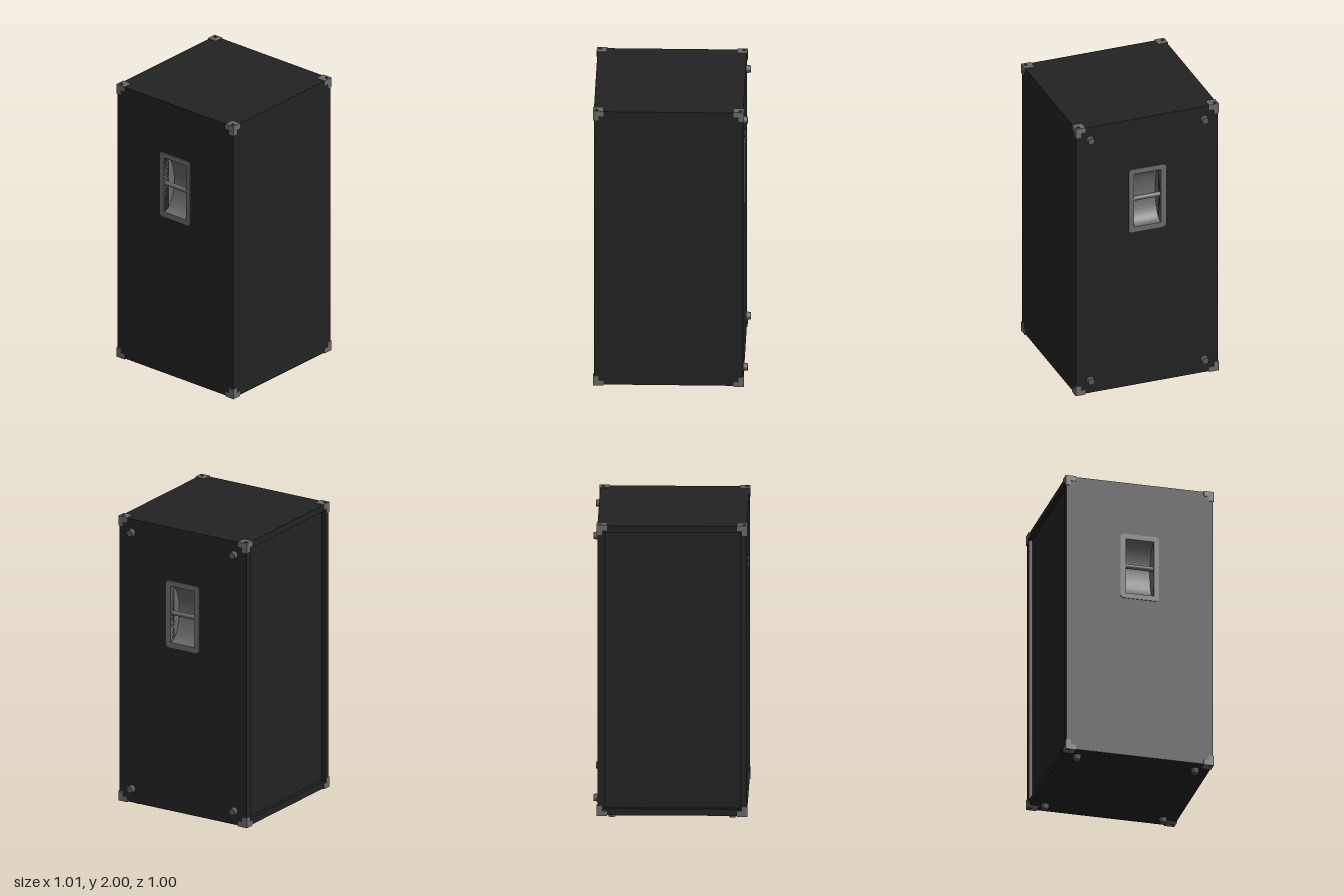
import * as THREE from 'three';
import { mergeGeometries } from 'three/addons/utils/BufferGeometryUtils.js';

// Cabinet limits
const X0 = -0.5, X1 = 0.477, Y0 = 0.032, Y1 = 1.995, Z = 0.497;
const CX = (X0 + X1) / 2, CY = (Y0 + Y1) / 2, W = X1 - X0, H = Y1 - Y0;
const WALL = 0.045;
const HANDLE_Y = 1.395;

// Box between two opposite corners, given in any order
function block(ax, bx, ay, by, az, bz) {
  const g = new THREE.BoxGeometry(Math.abs(bx - ax), Math.abs(by - ay), Math.abs(bz - az));
  return g.translate((ax + bx) / 2, (ay + by) / 2, (az + bz) / 2);
}

// Rectangle centred on (0, y), with cut corners
function rect(Type, w, h, y = 0, c = 0) {
  const a = w / 2, b = h / 2;
  const p = c
    ? [[-a + c, -b], [a - c, -b], [a, -b + c], [a, b - c], [a - c, b], [-a + c, b], [-a, b - c], [-a, -b + c]]
    : [[-a, -b], [a, -b], [a, b], [-a, b]];
  return new Type(p.map(([x, v]) => new THREE.Vector2(x, v + y)));
}

function extrude(shape, depth) {
  return new THREE.ExtrudeGeometry(shape, { depth, bevelEnabled: false });
}

// Corner protector: three thin plates, the outer one with a square hole
function cornerGeometry(sx, sy, sz) {
  const t = 0.005, s = 0.068, n = 0.036, h0 = 0.012, h1 = 0.033;
  const ox = (sx > 0 ? X1 : X0) + sx * t;
  const oy = (sy > 0 ? Y1 : Y0) + sy * t;
  const oz = sz * (Z + t);
  const b = (x0, x1, y0, y1, z0, z1) => block(
    ox - sx * x0, ox - sx * x1, oy - sy * y0, oy - sy * y1, oz - sz * z0, oz - sz * z1);
  return mergeGeometries([
    // horizontal plate around its hole
    b(0, h0, 0, t, 0, s), b(h1, s, 0, t, 0, s),
    b(h0, h1, 0, t, 0, h0), b(h0, h1, 0, t, h1, s),
    // front or back plate, L-shaped
    b(0, s, t, n, 0, t), b(0, n, n, s, 0, t),
    // side plate, L-shaped
    b(0, t, t, n, t, s), b(0, t, n, s, t, n),
  ]);
}

export function createModel() {
  const model = new THREE.Group();
  const covering = new THREE.MeshStandardMaterial({ color: 0x222222 });
  covering.name = 'black covering';
  const metal = new THREE.MeshStandardMaterial({ color: 0x6a6a6a });
  metal.name = 'grey fittings';
  const pan = new THREE.MeshStandardMaterial({ color: 0x6a6a6a, side: THREE.DoubleSide });
  pan.name = 'grey handle pan';
  const rubber = new THREE.MeshStandardMaterial({ color: 0x585858 });
  rubber.name = 'dark grey feet';

  const add = (name, geometry, material, parent = model) => {
    const mesh = new THREE.Mesh(geometry, material);
    mesh.name = name;
    parent.add(mesh);
    return mesh;
  };

  // Cabinet shell
  add('topPanel', block(X0 + WALL, X1 - WALL, Y1 - WALL, Y1, -Z, Z), covering);
  add('bottomPanel', block(X0 + WALL, X1 - WALL, Y0, Y0 + WALL, -Z, Z), covering);
  add('frontPanel', block(X0 + WALL, X1 - WALL, Y0 + WALL, Y1 - WALL, Z - 0.03, Z), covering);
  add('recessedBackPanel',
    block(X0 + WALL, X1 - WALL, Y0 + WALL, Y1 - WALL, -Z + 0.025, -Z + 0.05), covering);

  // Side walls with handle openings, and the handles in them
  for (const s of [1, -1]) {
    const side = new THREE.Group();
    side.name = s > 0 ? 'leftSide' : 'rightSide';
    side.position.set(CX + s * W / 2, 0, 0);
    side.rotation.y = s * Math.PI / 2;
    model.add(side);

    const wall = rect(THREE.Shape, 2 * Z, H, CY);
    wall.holes.push(rect(THREE.Path, 0.19, 0.39, HANDLE_Y));
    add('sideWall', extrude(wall, WALL).translate(0, 0, -WALL), covering, side);

    const frame = rect(THREE.Shape, 0.26, 0.462, HANDLE_Y, 0.014);
    frame.holes.push(rect(THREE.Path, 0.19, 0.39, HANDLE_Y));
    add('handleFrame', extrude(frame, 0.005), metal, side);

    const dish = new THREE.CylinderGeometry(1, 1, 0.19, 24, 1, false, Math.PI / 2, Math.PI)
      .rotateZ(Math.PI / 2).scale(1, 0.195, 0.1).translate(0, HANDLE_Y, 0);
    add('handlePan', dish, pan, side);

    const bar = new THREE.CylinderGeometry(0.016, 0.016, 0.19, 16)
      .rotateZ(Math.PI / 2).translate(0, HANDLE_Y + 0.006, -0.016);
    add('handleBar', bar, metal, side);
  }

  // Corner protectors
  for (const sx of [-1, 1]) for (const sy of [-1, 1]) for (const sz of [-1, 1]) {
    add('cornerProtector', cornerGeometry(sx, sy, sz), metal);
  }

  // Tapered feet under the cabinet and on its left side
  const foot = new THREE.CylinderGeometry(0.028, 0.023, 0.032, 12).translate(0, -0.016, 0);
  for (const a of [-1, 1]) for (const z of [-0.4, 0.4]) {
    add('bottomFoot', foot, rubber).position.set(CX + a * 0.395, Y0, z);
    const sideFoot = add('sideFoot', foot, rubber);
    sideFoot.position.set(X1 - 0.004, CY + a * 0.888, z);
    sideFoot.rotation.z = Math.PI / 2;
  }
  return model;
}
